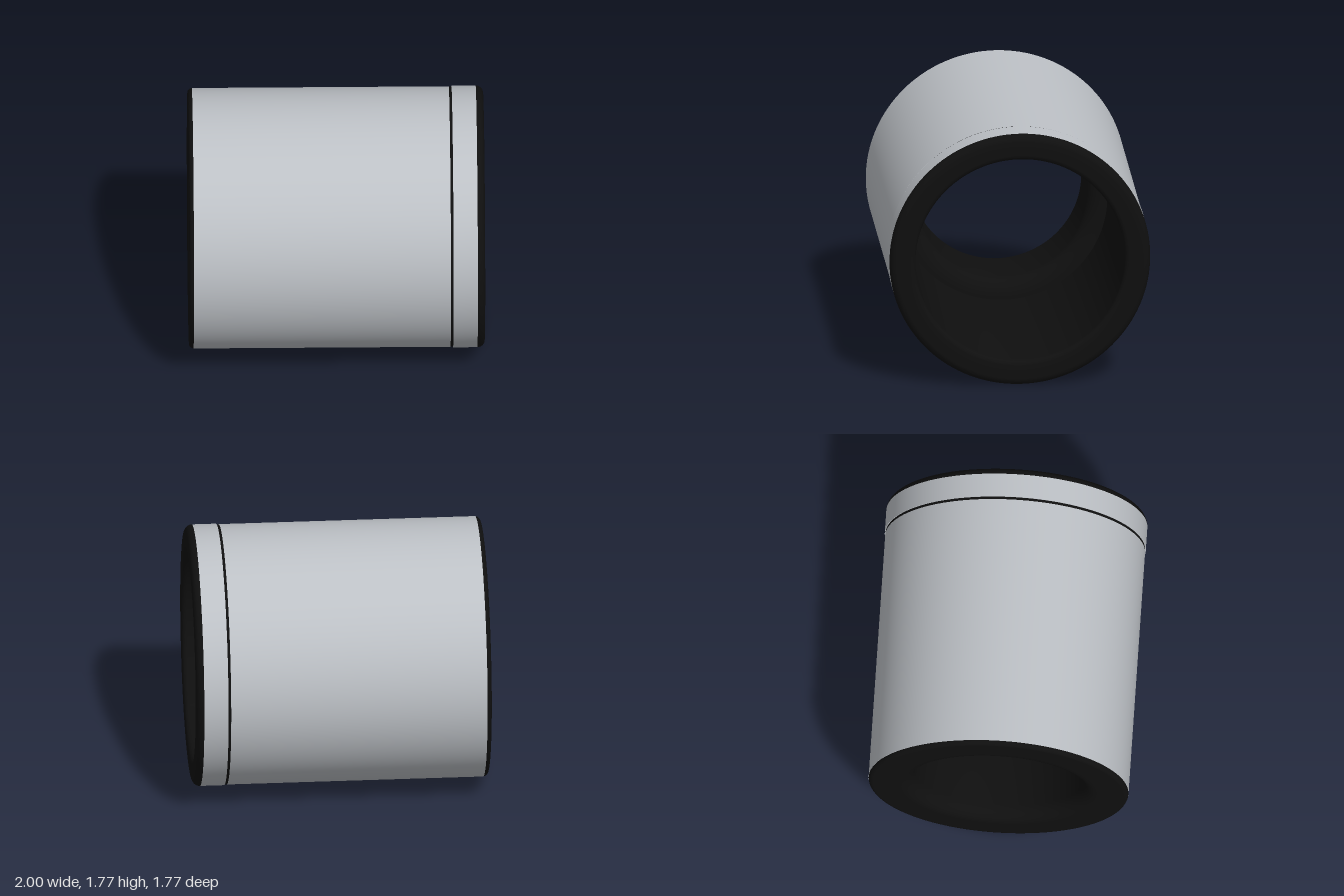
import * as THREE from 'three';
import { toCreasedNormals } from 'three/addons/utils/BufferGeometryUtils.js';

const AXIS_Y = 0.885;
const black = new THREE.MeshStandardMaterial({ color: 0x0f0f0f });
const silver = new THREE.MeshStandardMaterial({ color: 0xbdc1c6 });

// Rounded corner points [radius, x] about a centre, from angle a to b in degrees
function arc(r, x, rr, rx, a, b, n = 8) {
  return Array.from({ length: n + 1 }, (_, i) => {
    const t = THREE.MathUtils.degToRad(a + ((b - a) * i) / n);
    return [r + rr * Math.cos(t), x + rx * Math.sin(t)];
  });
}

// Revolves a closed [radius, x] profile about the x axis
function ring(name, profile, material) {
  const points = [...profile, profile[0]].map(([r, x]) => new THREE.Vector2(r, x));
  const geometry = toCreasedNormals(new THREE.LatheGeometry(points, 128), 0.5);
  geometry.rotateZ(-Math.PI / 2);
  const mesh = new THREE.Mesh(geometry, material);
  mesh.name = name;
  mesh.position.y = AXIS_Y;
  return mesh;
}

const band = (r, x0, x1) => [[r - 0.02, x0], [r, x0], [r, x1], [r - 0.02, x1]];

export function createModel() {
  const model = new THREE.Group();
  model.name = 'sleeve';

  // Black core: rounded ends, recessed outer wall, wide bore stepping down to a throat
  model.add(ring('core', [
    ...arc(0.85, -0.97, 0.03, 0.03, -90, 0),
    [0.87, -0.97],
    [0.87, 0.95],
    ...arc(0.835, 0.95, 0.05, 0.05, 0, 90),
    ...arc(0.745, 0.965, 0.035, 0.035, 90, 180),
    ...arc(0.71, -0.5, 0.135, 0.1, 90, 180),
    ...arc(0.675, -0.9, 0.1, 0.1, 180, 270),
  ], black));

  // Silver outer skin, split by a narrow dark seam
  model.add(ring('outerSleeve', band(0.881, -0.97, 0.768), silver));
  model.add(ring('seam', band(0.88, 0.768, 0.786), black));
  model.add(ring('endBand', band(0.885, 0.786, 0.95), silver));

  return model;
}
